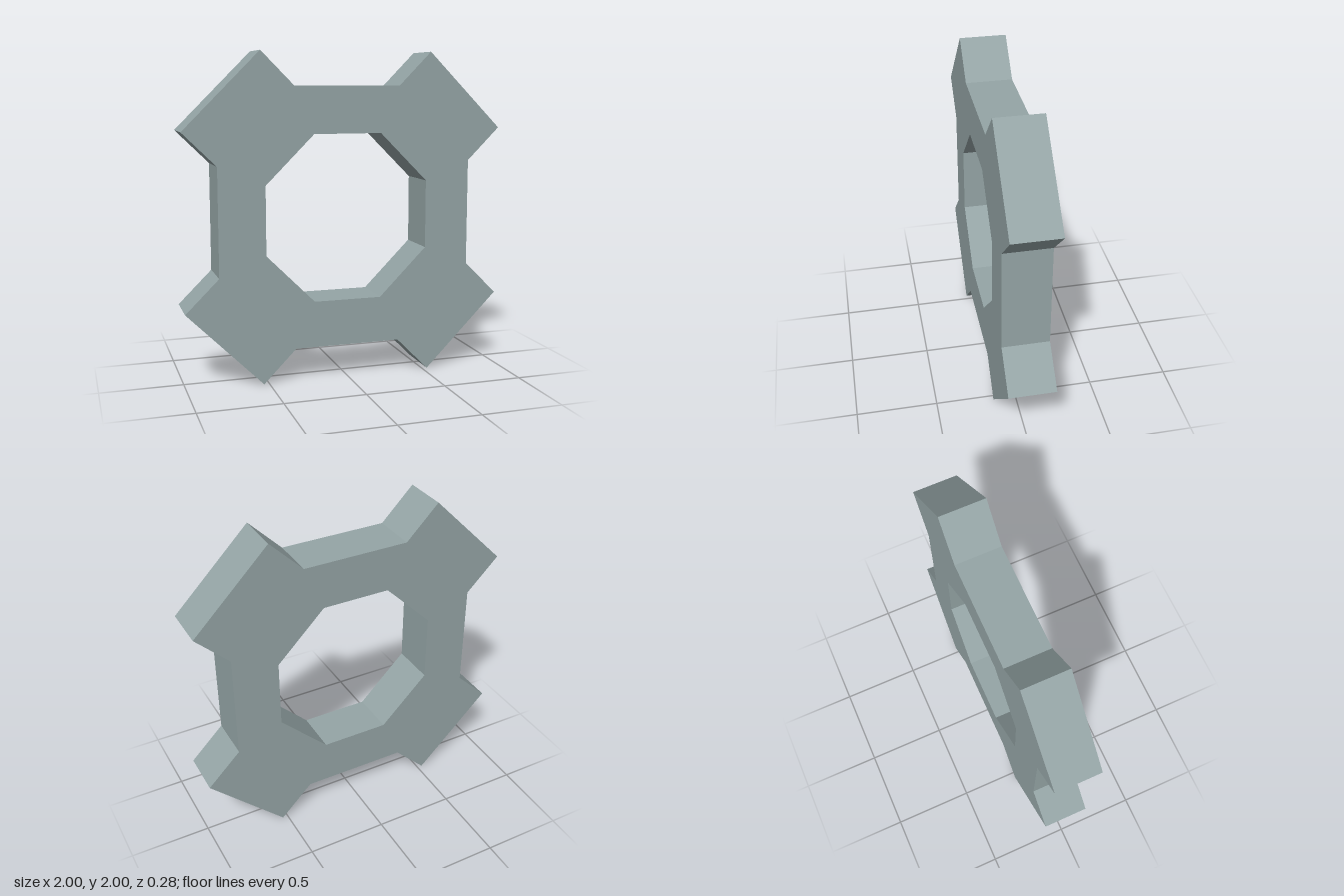
import * as THREE from 'three';

// Repeat one quadrant's points around the centre in quarter turns
function quarterTurns(points) {
  const out = [];
  for (let i = 0; i < 4; i++) {
    for (const [x, y] of points) {
      const p = new THREE.Vector2(x, y).rotateAround(new THREE.Vector2(), i * Math.PI / 2);
      out.push(p);
    }
  }
  return out;
}

export function createModel() {
  const group = new THREE.Group();
  group.name = 'cogFrame';
  const grey = new THREE.MeshStandardMaterial({ color: 0x95a5a6 });
  grey.name = 'blue grey';

  // Outline: one square-ended diagonal tooth per quadrant
  const shape = new THREE.Shape(quarterTurns([
    [0.795, 0.33], [1, 0.533], [0.533, 1], [0.33, 0.795],
  ]));
  // Octagonal opening
  shape.holes.push(new THREE.Path(quarterTurns([[0.51, 0.211], [0.211, 0.51]])));

  const depth = 0.284;
  const geometry = new THREE.ExtrudeGeometry(shape, { depth, bevelEnabled: false });
  geometry.translate(0, 1, -depth / 2);

  const ring = new THREE.Mesh(geometry, grey);
  ring.name = 'toothedRing';
  group.add(ring);
  return group;
}
